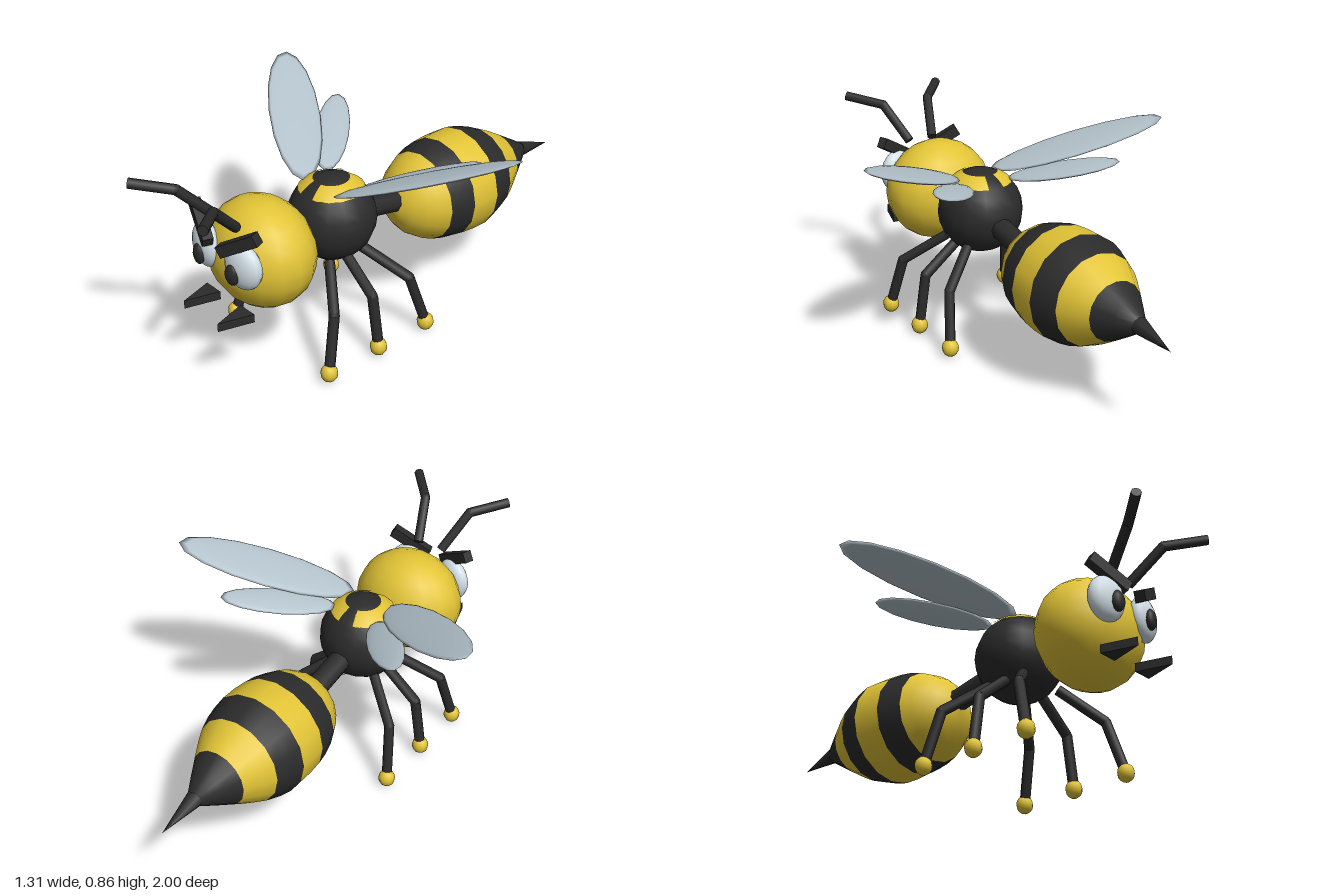
import * as THREE from 'three';

const V = (x, y, z) => new THREE.Vector3(x, y, z);

export function createModel() {
  const mat = (name, color) => {
    const m = new THREE.MeshStandardMaterial({ color });
    m.name = name;
    return m;
  };
  const yellow = mat('yellow', 0xe2c436);
  const black = mat('black', 0x2b2b2b);
  const white = mat('eye white', 0xd3e0e7);
  const wingGrey = mat('wing grey', 0xb3c2cb);

  const model = new THREE.Group();
  model.name = 'bee';

  const add = (name, geometry, material, parent = model) => {
    const mesh = new THREE.Mesh(geometry, material);
    mesh.name = name;
    parent.add(mesh);
    return mesh;
  };
  const ellipsoid = (name, center, radii, material, w = 16, h = 12) => {
    const mesh = add(name, new THREE.SphereGeometry(1, w, h), material);
    mesh.scale.set(...radii);
    mesh.position.copy(center);
    return mesh;
  };
  // Cylinder between two points, rTop at b
  const rod = (name, a, b, r, material, rTop = r, sides = 8) => {
    const mesh = add(name, new THREE.CylinderGeometry(rTop, r, a.distanceTo(b), sides), material);
    mesh.position.copy(a).lerp(b, 0.5);
    mesh.quaternion.setFromUnitVectors(V(0, 1, 0), b.clone().sub(a).normalize());
    return mesh;
  };

  // Head, thorax and waist
  ellipsoid('head', V(0, 0.48, 0.587), [0.23, 0.214, 0.19], yellow);
  ellipsoid('thorax', V(0, 0.494, 0.243), [0.174, 0.174, 0.174], black);
  rod('waist', V(0, 0.47, 0.13), V(0, 0.415, -0.14), 0.045, black);

  // Striped abdomen: each band is a lathe of [distance back, radius]
  const bands = [
    [[0.068, 0], [0.08, 0.05], [0.105, 0.1], [0.14, 0.14], [0.18, 0.167], [0.225, 0.188]],
    [[0.225, 0.188], [0.28, 0.204], [0.33, 0.212]],
    [[0.33, 0.212], [0.39, 0.217], [0.455, 0.217]],
    [[0.455, 0.217], [0.51, 0.204], [0.57, 0.182]],
    [[0.57, 0.182], [0.62, 0.156], [0.685, 0.117]],
    [[0.685, 0.117], [0.76, 0.071], [0.82, 0.033], [0.835, 0]],
  ];
  bands.forEach((band, i) => {
    const points = band.map(([d, r]) => new THREE.Vector2(r, d));
    const geometry = new THREE.LatheGeometry(points, 16).rotateX(-Math.PI / 2);
    add('abdomenBand' + (i + 1), geometry, i % 2 ? black : yellow).position.y = 0.397;
  });
  rod('stinger', V(0, 0.398, -0.82), V(0, 0.368, -1), 0.034, black, 0);

  // Mandible outline, pointing forward
  const jaw = new THREE.Shape([[-0.041, 0], [0.041, 0], [0, 0.135]].map(p => new THREE.Vector2(...p)));

  for (const s of [1, -1]) {
    const side = s > 0 ? 'left' : 'right';

    // Yellow patch on the thorax
    const patch = new THREE.SphereGeometry(0.178, 10, 4,
      (s > 0 ? Math.PI : 0) - 1.32, 2.64, 0.4, 0.41);
    add(side + 'ThoraxPatch', patch, yellow).position.set(0, 0.494, 0.243);

    // Eye, pupil and slanted brow
    ellipsoid(side + 'Eye', V(s * 0.11, 0.528, 0.752), [0.08, 0.091, 0.045], white).rotation.y = s * 0.22;
    ellipsoid(side + 'Pupil', V(s * 0.098, 0.508, 0.796), [0.03, 0.042, 0.02], black, 12, 8).rotation.y = s * 0.2;
    const brow = add(side + 'Brow', new THREE.BoxGeometry(0.18, 0.045, 0.04), black);
    brow.position.set(s * 0.11, 0.626, 0.768);
    brow.rotation.set(0, s * 0.36, s * 0.52, 'YZX');

    // Mandible
    const mandible = new THREE.ExtrudeGeometry(jaw, { depth: 0.034, bevelEnabled: false });
    mandible.rotateX(Math.PI / 2);
    add(side + 'Mandible', mandible, black).position.set(s * 0.101, 0.336, 0.74);

    // Antenna
    const root = V(s * 0.055, 0.66, 0.735), bend = V(s * 0.108, 0.795, 0.865);
    rod(side + 'AntennaBase', root, bend, 0.02, black);
    ellipsoid(side + 'AntennaJoint', bend, [0.02, 0.02, 0.02], black, 8, 6);
    rod(side + 'AntennaTip', bend, V(s * 0.22, 0.822, 0.988), 0.02, black);

    // Legs: [name, hip z, knee z, foot z]
    for (const [name, hipZ, kneeZ, footZ] of [
      ['Front', 0.345, 0.455, 0.513], ['Middle', 0.263, 0.263, 0.263], ['Back', 0.18, 0.07, 0.012],
    ]) {
      const hip = V(s * 0.1, 0.37, hipZ), knee = V(s * 0.25, 0.25, kneeZ), foot = V(s * 0.283, 0.037, footZ);
      rod(side + name + 'Thigh', hip, knee, 0.021, black);
      ellipsoid(side + name + 'Knee', knee, [0.021, 0.021, 0.021], black, 8, 6);
      rod(side + name + 'Shin', knee, foot, 0.021, black);
      ellipsoid(side + name + 'Foot', foot, [0.034, 0.037, 0.034], yellow, 10, 8);
    }

    // Wings: flattened ellipsoids swept back, then raised
    for (const [name, c, length, width, sweep, lift] of [
      ['Forewing', [0.37, 0.745, 0.11], 0.365, 0.105, 0.57, 0.38],
      ['Hindwing', [0.25, 0.68, 0.02], 0.235, 0.068, 0.81, 0.34],
    ]) {
      const wing = ellipsoid(side + name, V(s * c[0], c[1], c[2]), [length, 0.014, width], wingGrey, 16, 8);
      wing.rotation.set(0, s * sweep, s * lift, 'ZYX');
    }
  }
  return model;
}
